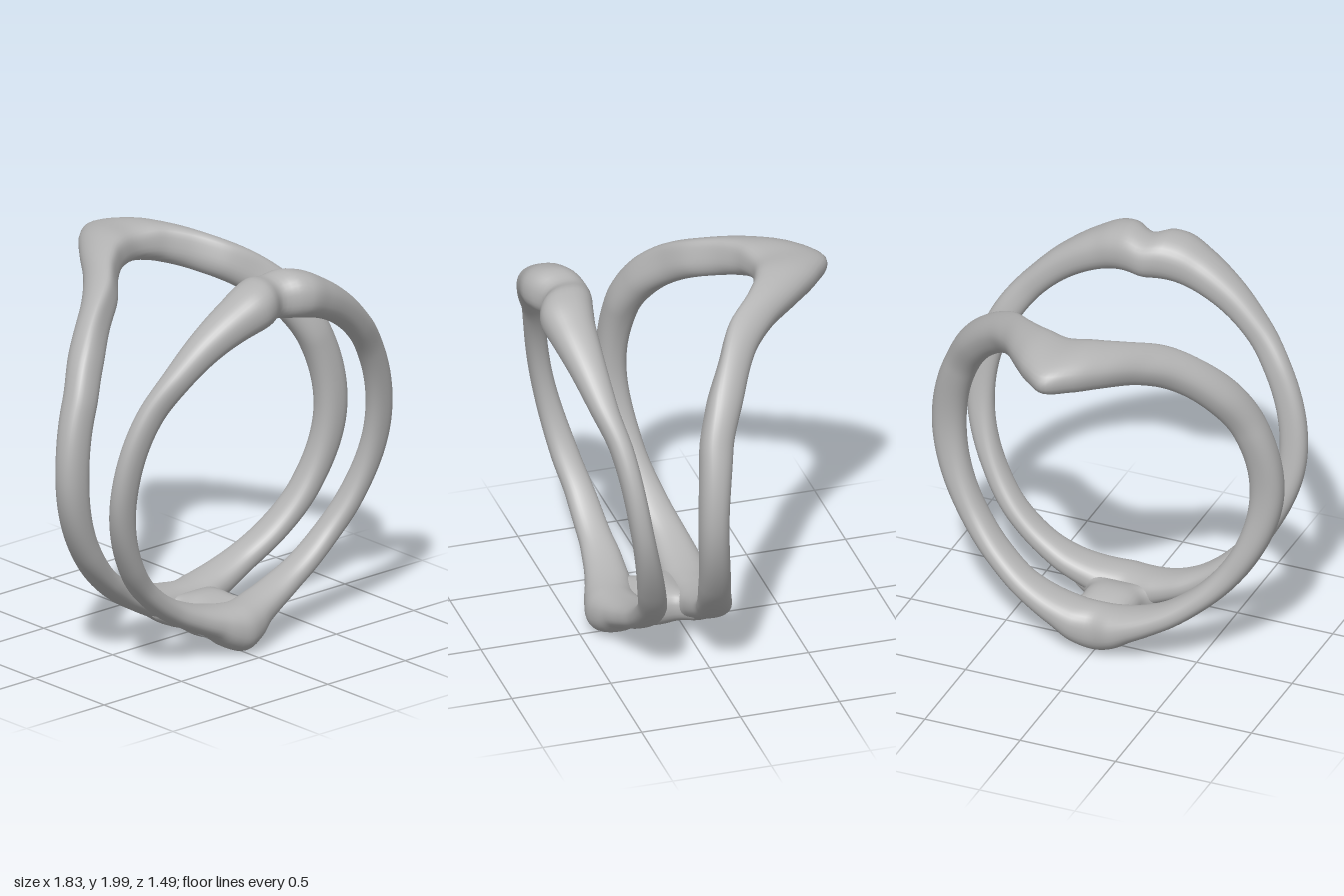
import * as THREE from 'three';

const SIDES = 32;

// Skin a list of equal-length closed cross-sections; wrap joins last to first.
function loft(sections, wrap) {
  const n = sections.length, m = sections[0].length, index = [];
  for (let i = 0; i < (wrap ? n : n - 1); i++) {
    for (let j = 0; j < m; j++) {
      const k = (i + 1) % n, l = (j + 1) % m;
      const a = i * m + j, b = i * m + l, c = k * m + j, d = k * m + l;
      index.push(a, b, c, b, d, c);
    }
  }
  const geo = new THREE.BufferGeometry();
  geo.setAttribute('position', new THREE.Float32BufferAttribute(sections.flat(2), 3));
  geo.setIndex(index);
  geo.computeVertexNormals();
  return geo;
}

// Smooth interpolation of key rows [angle, ...values], flat at both ends.
function sample(keys, a) {
  let i = 0;
  while (i < keys.length - 2 && a > keys[i + 1][0]) i++;
  const p = keys[i], q = keys[i + 1], h = q[0] - p[0], t = (a - p[0]) / h;
  const slope = (k, c) => {
    if (k === 0 || k === keys.length - 1) return 0;
    const l = keys[k - 1], m = keys[k], r = keys[k + 1];
    const s0 = (m[c] - l[c]) / (m[0] - l[0]), s1 = (r[c] - m[c]) / (r[0] - m[0]);
    return s0 * s1 <= 0 ? 0 : (2 * s0 * s1) / (s0 + s1);
  };
  const t2 = t * t, t3 = t2 * t;
  return p.slice(1).map((v, j) => {
    const c = j + 1;
    return (2 * t3 - 3 * t2 + 1) * v + (t3 - 2 * t2 + t) * h * slope(i, c)
      + (3 * t2 - 2 * t3) * q[c] + (t3 - t2) * h * slope(i + 1, c);
  });
}

const soft = (v, e) => Math.sign(v) * Math.pow(Math.abs(v), e);

// Mirrored band around the finger hole, centred on y = 1, angle 0 at the bottom.
function band(keys, lean) {
  const sections = [], steps = 240;
  for (let i = 0; i < steps; i++) {
    const deg = (i / steps) * 360;
    const [r0, r1, z0, z1] = sample(keys, deg > 180 ? 360 - deg : deg);
    const a = THREE.MathUtils.degToRad(deg);
    const shift = lean * Math.pow((1 - Math.cos(a)) / 2, 6);
    const ring = [];
    for (let j = 0; j < SIDES; j++) {
      const f = (j / SIDES) * Math.PI * 2, s = Math.sin(f);
      const r = (r0 + r1) / 2 + ((r1 - r0) / 2) * soft(s, 0.88);
      const z = (z0 + z1) / 2 + ((z1 - z0) / 2) * soft(Math.cos(f), 0.88)
        + shift * Math.max(0, s) ** 2;
      ring.push([r * Math.sin(a), 1 - r * Math.cos(a), z]);
    }
    sections.push(ring);
  }
  return loft(sections, true);
}

// Rows: angle, inner radius, outer radius, back z, front z
const FRONT = [
  [0, 0.755, 0.995, 0.21, 0.47], [5, 0.755, 0.968, 0.205, 0.455],
  [11, 0.755, 0.912, 0.2, 0.425], [20, 0.755, 0.885, 0.2, 0.395],
  [30, 0.755, 0.87, 0.215, 0.38], [45, 0.752, 0.86, 0.24, 0.388],
  [60, 0.75, 0.86, 0.285, 0.425], [90, 0.75, 0.888, 0.385, 0.495],
  [120, 0.755, 0.895, 0.455, 0.565], [135, 0.76, 0.9, 0.495, 0.63],
  [150, 0.765, 0.93, 0.505, 0.685], [162, 0.768, 0.968, 0.5, 0.725],
  [170, 0.77, 0.999, 0.48, 0.745], [174, 0.77, 1.004, 0.465, 0.73],
  [180, 0.77, 0.98, 0.45, 0.68],
];
const BACK = [
  [0, 0.755, 0.985, -0.17, 0.05], [7, 0.755, 0.955, -0.188, 0.05],
  [14, 0.755, 0.91, -0.18, 0.04], [25, 0.755, 0.88, -0.155, 0.035],
  [40, 0.752, 0.868, -0.105, 0.07], [60, 0.75, 0.88, -0.04, 0.118],
  [90, 0.75, 0.917, 0.01, 0.155], [115, 0.755, 0.925, -0.035, 0.13],
  [130, 0.76, 0.942, -0.12, 0.065], [145, 0.763, 0.95, -0.23, -0.05],
  [155, 0.765, 0.955, -0.36, -0.13], [165, 0.768, 0.965, -0.55, -0.27],
  [172, 0.768, 0.97, -0.67, -0.34], [180, 0.768, 0.96, -0.75, -0.37],
];

// Waisted link between the two bands, curved to follow the hole.
function bridge() {
  const sections = [];
  for (let i = 0; i <= 24; i++) {
    const t = (i / 24) * 2 - 1;
    const w = 0.145 + 0.11 * t ** 4, h = 0.11 - 0.035 * t * t;
    const ring = [];
    for (let j = 0; j < SIDES; j++) {
      const f = (j / SIDES) * Math.PI * 2;
      const x = w * soft(Math.cos(f), 0.85);
      ring.push([x, 0.132 + h * soft(Math.sin(f), 0.85) + 0.66 * x * x, 0.12 + 0.125 * t]);
    }
    sections.push(ring);
  }
  return loft(sections, false);
}

export function createModel() {
  const metal = new THREE.MeshStandardMaterial({ color: 0xb4b4b4 });
  metal.name = 'grey metal';
  const group = new THREE.Group();
  group.name = 'doubleRing';
  const add = (name, geo) => {
    const mesh = new THREE.Mesh(geo, metal);
    mesh.name = name;
    group.add(mesh);
  };
  add('frontBand', band(FRONT, 0));
  add('backBand', band(BACK, 0.06));
  add('bridge', bridge());
  return group;
}
